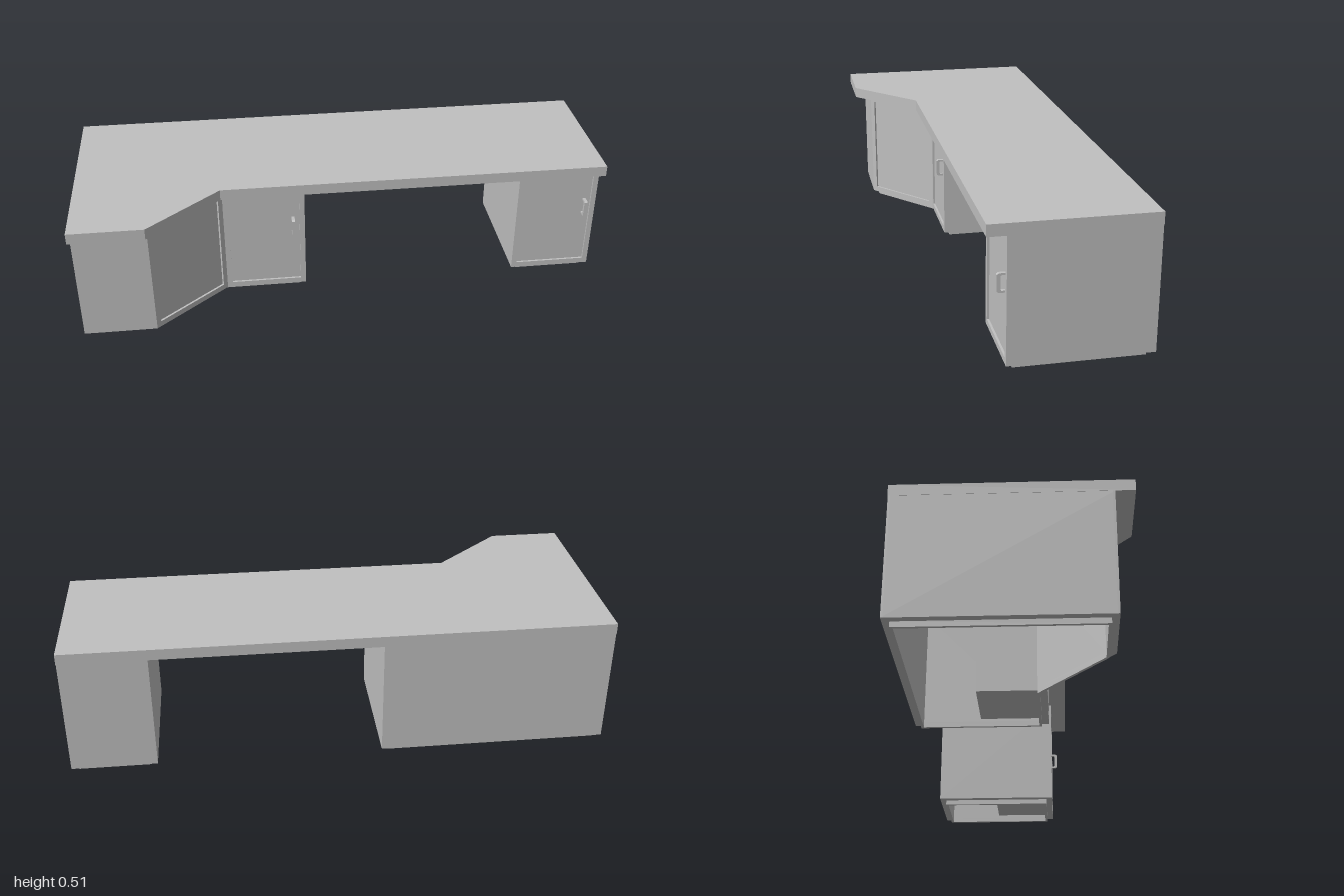
import * as THREE from 'three';

const TOP = 0.465, FLOOR = 0.02, RECESS = 0.008;
const laminate = new THREE.MeshStandardMaterial({ color: 0xc0c0c0 });
laminate.name = 'grey laminate';

function add(parent, name, geometry) {
  const mesh = new THREE.Mesh(geometry, laminate);
  mesh.name = name;
  parent.add(mesh);
  return mesh;
}

const toVectors = (points) => points.map(([x, y]) => new THREE.Vector2(x, y));

// Moves every side of a counter-clockwise [x, z] outline inwards by d
function inset(points, d) {
  const n = points.length;
  const normal = (i) => {
    const [ax, az] = points[i], [bx, bz] = points[(i + 1) % n];
    const len = Math.hypot(bx - ax, bz - az);
    return [-(bz - az) / len, (bx - ax) / len];
  };
  return points.map(([x, z], i) => {
    const p = normal((i + n - 1) % n), q = normal(i);
    const k = d / (1 + p[0] * q[0] + p[1] * q[1]);
    return [x + (p[0] + q[0]) * k, z + (p[1] + q[1]) * k];
  });
}

// Upright prism over an [x, z] outline, optionally hollow
function prism(outline, bottom, top, hole) {
  const shape = new THREE.Shape(toVectors(outline));
  if (hole) shape.holes.push(new THREE.Path(toVectors(hole)));
  return new THREE.ExtrudeGeometry(shape, { depth: top - bottom, bevelEnabled: false })
    .rotateX(Math.PI / 2).translate(0, top, 0);
}

const rect = (x0, y0, x1, y1) => toVectors([[x0, y0], [x1, y0], [x1, y1], [x0, y1]]);

// C-shaped pull: profile in (out, y), extruded across its width
function handleGeometry() {
  const profile = [
    [0, 0.258], [0.024, 0.258], [0.031, 0.263], [0.031, 0.320], [0.024, 0.325], [0, 0.325],
    [0, 0.318], [0.016, 0.318], [0.019, 0.315], [0.019, 0.268], [0.016, 0.265], [0, 0.265],
  ];
  return new THREE.ExtrudeGeometry(new THREE.Shape(toVectors(profile)), { depth: 0.012, bevelEnabled: false })
    .translate(0, 0, -0.006).rotateY(-Math.PI / 2);
}

// doors: side index -> whether that door has a handle
function cabinet(name, outline, doors, liner) {
  const group = new THREE.Group();
  group.name = name;
  const hollow = inset(outline, 0.035);
  add(group, 'plinth', prism(inset(outline, 0.025), 0, FLOOR, hollow));
  add(group, 'carcass', prism(inset(outline, RECESS), FLOOR, TOP, hollow));

  // Outer facing on each side, cut out where a door panel is recessed
  outline.forEach(([ax, az], i) => {
    const [bx, bz] = outline[(i + 1) % outline.length];
    const len = Math.hypot(bx - ax, bz - az);
    const u = new THREE.Vector3((ax - bx) / len, 0, (az - bz) / len);
    const up = new THREE.Vector3(0, 1, 0);
    const out = new THREE.Vector3().crossVectors(u, up);
    const frame = new THREE.Matrix4().makeBasis(u, up, out)
      .setPosition(bx - out.x * RECESS, 0, bz - out.z * RECESS);
    const shape = new THREE.Shape(rect(0, FLOOR, len, TOP));
    if (i in doors) shape.holes.push(new THREE.Path(rect(0.02, 0.042, len - 0.02, 0.443)));
    const facing = new THREE.ExtrudeGeometry(shape, { depth: RECESS, bevelEnabled: false });
    add(group, i in doors ? 'doorFrame' : 'sidePanel', facing.applyMatrix4(frame));
    if (doors[i]) {
      add(group, 'doorHandle', handleGeometry().translate(len - 0.045, 0, 0).applyMatrix4(frame));
    }
  });

  // Closed cupboard box behind the straight door
  const [x0, x1] = liner;
  add(group, 'cupboardBox', prism([[x0, -0.15], [x1, -0.15], [x1, 0.08], [x0, 0.08]], 0.03, TOP));
  return group;
}

export function createModel() {
  const desk = new THREE.Group();
  desk.name = 'desk';

  // Worktop with a deeper angled end
  add(desk, 'worktop', prism([
    [-1, -0.398], [1, -0.398], [1, 0.167], [-0.465, 0.167], [-0.73, 0.398], [-1, 0.398],
  ], TOP, 0.506));

  // Narrow pedestal
  desk.add(cabinet('pedestalCabinet',
    [[0.685, -0.397], [0.999, -0.397], [0.999, 0.102], [0.685, 0.102]],
    { 2: true }, [0.717, 0.967]));

  // Wide corner unit with a straight and a diagonal door
  desk.add(cabinet('cornerCabinet',
    [[-0.999, -0.397], [-0.15, -0.397], [-0.15, 0.102], [-0.46, 0.102], [-0.73, 0.332], [-0.999, 0.332]],
    { 2: true, 3: false }, [-0.432, -0.182]));

  return desk;
}
